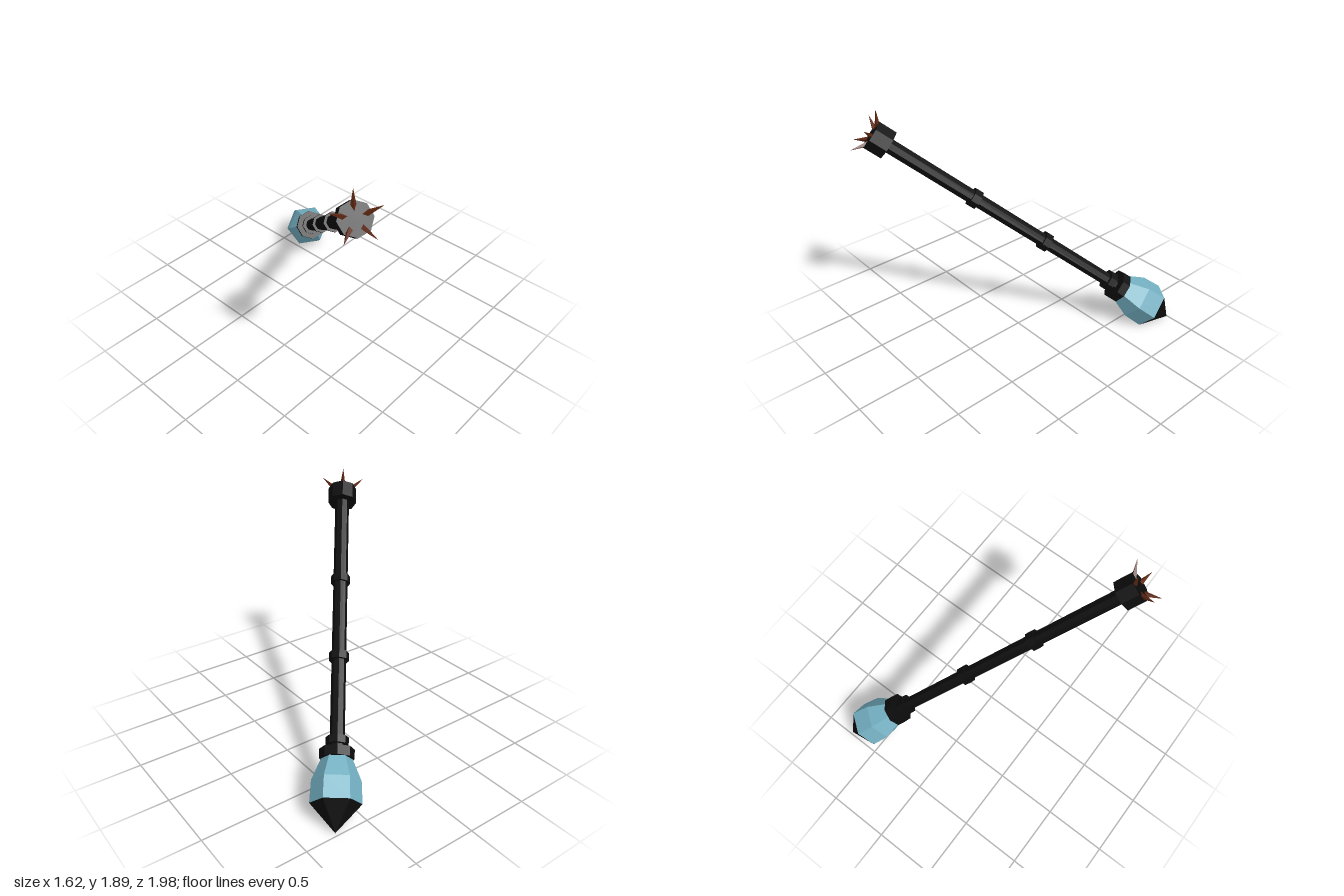
import * as THREE from 'three';

const flat = (name, color) => {
  const m = new THREE.MeshStandardMaterial({ color, flatShading: true });
  m.name = name;
  return m;
};

export function createModel() {
  const black = flat('black iron', 0x0d0c0c);
  const blue = flat('pale blue crystal', 0x74b0c2);
  const rust = flat('rust', 0x5e2712);

  const model = new THREE.Group();
  model.name = 'mace';
  // Everything is built along local y, with the spiked head at the origin
  const staff = new THREE.Group();
  staff.name = 'staff';
  model.add(staff);

  const add = (name, geometry, material) => {
    const mesh = new THREE.Mesh(geometry, material);
    mesh.name = name;
    staff.add(mesh);
    return mesh;
  };
  // Drum between two distances down the shaft
  const drum = (name, from, to, rTop, rBottom, sides = 8, material = black) => {
    const mesh = add(name, new THREE.CylinderGeometry(rTop, rBottom, to - from, sides), material);
    mesh.position.y = -(from + to) / 2;
    return mesh;
  };

  // Shaft, head, grip rings and collars
  drum('shaft', 0, 2.24, 0.057, 0.053);
  drum('head', -0.07, 0.07, 0.116, 0.116);
  drum('upperRing', 0.787, 0.85, 0.075, 0.075);
  drum('lowerRing', 1.45, 1.513, 0.075, 0.075);
  drum('smallCollar', 2.105, 2.16, 0.082, 0.082);
  drum('largeCollar', 2.192, 2.262, 0.125, 0.125);

  // Six-sided crystal bulb with a dark point
  const turn = Math.PI / 6;
  const bulb = [[0.182, -2.572], [0.175, -2.414], [0.11, -2.258]].map(([r, y]) => new THREE.Vector2(r, y));
  add('crystal', new THREE.LatheGeometry(bulb, 6, turn), blue);
  drum('crystalPoint', 2.572, 2.77, 0.182, 0, 6).rotation.y = turn;

  // Five spikes splayed around the head
  const up = new THREE.Vector3(0, 1, 0);
  for (let i = 0; i < 5; i++) {
    const a = (i * Math.PI * 2) / 5;
    const at = (r, y) => new THREE.Vector3(r * Math.sin(a), y, r * Math.cos(a));
    const base = at(0.06, 0.05), tip = at(0.178, 0.141);
    const dir = tip.clone().sub(base);
    const spike = add('spike', new THREE.ConeGeometry(0.024, dir.length(), 4), rust);
    spike.position.copy(base).add(tip).multiplyScalar(0.5);
    spike.quaternion.setFromUnitVectors(up, dir.normalize());
  }

  // Lean the staff diagonally
  const y = new THREE.Vector3(-0.4935, 0.5967, 0.6326).normalize();
  const x = new THREE.Vector3().crossVectors(y, new THREE.Vector3(0.333, 0.8, -0.5)).normalize();
  const z = new THREE.Vector3().crossVectors(x, y);
  staff.quaternion.setFromRotationMatrix(new THREE.Matrix4().makeBasis(x, y, z));
  staff.position.set(-0.61, 1.68, 0.77);
  return model;
}
